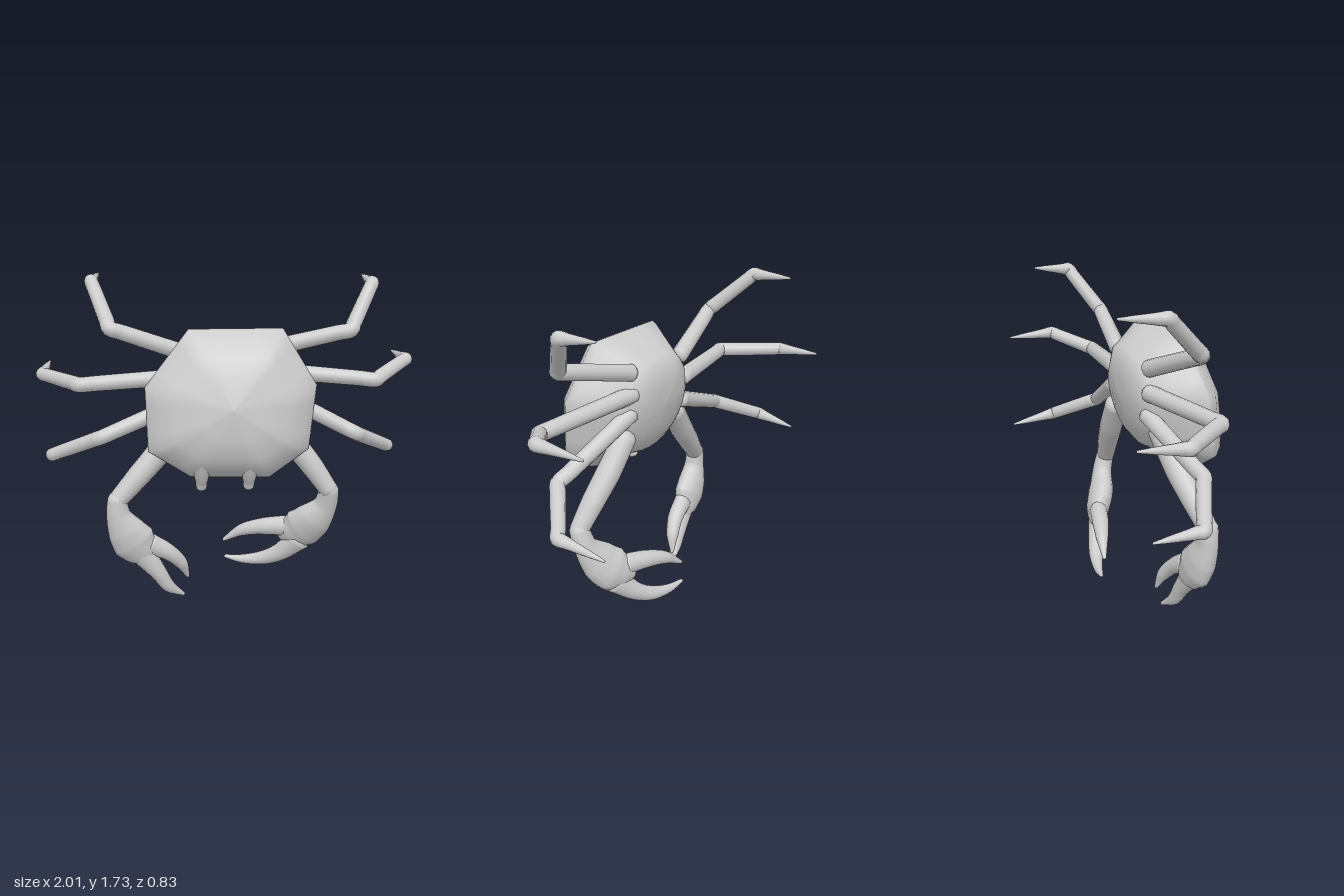
import * as THREE from 'three';

const material = new THREE.MeshStandardMaterial({ color: 0xcccccc });
const UP = new THREE.Vector3(0, 1, 0);
const FRONT = new THREE.Vector3(0, 0, 1);

// Skin a list of rings (equal counts, anticlockwise about the travel direction)
function loft(name, rings) {
  const n = rings[0].length, position = [], index = [];
  rings.forEach(ring => ring.forEach(p => position.push(p.x, p.y, p.z)));
  for (let i = 0; i < rings.length - 1; i++) {
    for (let j = 0; j < n; j++) {
      const a = i * n + j, b = i * n + (j + 1) % n;
      index.push(a, b, a + n, b, b + n, a + n);
    }
  }
  const geometry = new THREE.BufferGeometry();
  geometry.setAttribute('position', new THREE.Float32BufferAttribute(position, 3));
  geometry.setIndex(index);
  geometry.computeVertexNormals();
  const mesh = new THREE.Mesh(geometry, material);
  mesh.name = name;
  return mesh;
}

// Tapered limb through points [x, y, z, width radius, depth radius]
function limb(name, points, ref = FRONT, steps = 28, sides = 14) {
  const curve = new THREE.CatmullRomCurve3(points.map(p => new THREE.Vector3(p[0], p[1], p[2])));
  const last = points.length - 1, rings = [];
  const ringAt = (t, scale, shift) => {
    const f = t * last, i = Math.min(Math.floor(f), last - 1), k = f - i;
    const mix = (a, b) => a + (b - a) * k;
    const depth = p => p[4] ?? p[3];
    const w = mix(points[i][3], points[i + 1][3]) * scale;
    const d = mix(depth(points[i]), depth(points[i + 1])) * scale;
    const tangent = curve.getTangent(t);
    const normal = ref.clone().addScaledVector(tangent, -ref.dot(tangent)).normalize();
    const side = tangent.clone().cross(normal);
    const centre = curve.getPoint(t).addScaledVector(tangent, shift * Math.min(points[i][3], points[i + 1][3]));
    return Array.from({ length: sides }, (_, j) => {
      const a = j / sides * Math.PI * 2;
      return centre.clone().addScaledVector(normal, d * Math.cos(a)).addScaledVector(side, w * Math.sin(a));
    });
  };
  // rounded start, body, rounded end
  rings.push(ringAt(0, 0, -0.6), ringAt(0, 0.7, -0.4));
  for (let s = 0; s <= steps; s++) rings.push(ringAt(s / steps, 1, 0));
  rings.push(ringAt(1, 0.7, 0.4), ringAt(1, 0, 0.6));
  return loft(name, rings);
}

// Three-segment walking leg: root, knee, bend, tip, with tight joints
function leg(name, joints) {
  const radii = [0.045, 0.04, 0.036, 0.006], points = [];
  joints.forEach((p, i) => {
    points.push([...p, radii[i]]);
    if (i === 3) return;
    for (const k of [0.15, 0.85]) {
      const lerp = (a, b) => a + (b - a) * k;
      points.push([...p.map((v, c) => lerp(v, joints[i + 1][c])), lerp(radii[i], radii[i + 1])]);
    }
  });
  return limb(name, points, UP, 45, 12);
}

// Eight-sided shell: outline scaled through layers of depth
function shell() {
  const corners = [[0.44, 1.22], [0.27, 1.5], [-0.2, 1.5], [-0.42, 1.22],
    [-0.41, 0.9], [-0.2, 0.77], [0.2, 0.76], [0.4, 0.9]];
  const outline = [];
  corners.forEach((c, i) => {
    const d = corners[(i + 1) % corners.length];
    for (let k = 0; k < 4; k++) {
      outline.push([c[0] + (d[0] - c[0]) * k / 4, c[1] + (d[1] - c[1]) * k / 4]);
    }
  });
  const cx = 0.01, cy = 1.14;
  // [z, scale, roundness]
  const layers = [[-0.07, 0, 1], [-0.065, 0.25, 1], [-0.045, 0.48, 0.9], [0, 0.66, 0.7],
    [0.11, 0.83, 0.3], [0.2, 0.97, 0], [0.23, 1, 0], [0.25, 0.98, 0], [0.3, 0.87, 0],
    [0.36, 0.67, 0], [0.39, 0.38, 0], [0.41, 0, 0]];
  return loft('shell', layers.map(([z, s, round]) => outline.map(([x, y]) => {
    const dx = x - cx, dy = y - cy, r = Math.hypot(dx, dy);
    const k = s * (1 + (0.41 / r - 1) * round);
    return new THREE.Vector3(cx + dx * k, cy + dy * k, z - dy * s * 0.15);
  })));
}

function claw(name, parts) {
  const group = new THREE.Group();
  group.name = name;
  for (const [part, points] of Object.entries(parts)) group.add(limb(part, points));
  return group;
}

export function createModel() {
  const model = new THREE.Group();
  model.name = 'crab';
  model.add(shell());

  // Eye stubs on the lower edge
  for (const [name, x] of [['rightEye', -0.145], ['leftEye', 0.095]]) {
    model.add(limb(name, [[x, 0.86, 0.31, 0.06], [x, 0.79, 0.3, 0.042],
      [x, 0.74, 0.285, 0.03], [x, 0.71, 0.275, 0.028]], FRONT, 12, 12));
  }

  // Walking legs
  const legs = {
    rightUpperLeg: [[-0.2, 1.34, 0.0], [-0.59, 1.49, 0.08], [-0.69, 1.7, -0.14], [-0.67, 1.715, -0.37]],
    rightMiddleLeg: [[-0.22, 1.22, -0.01], [-0.75, 1.21, 0.1], [-0.97, 1.21, -0.17], [-0.96, 1.23, -0.41]],
    rightLowerLeg: [[-0.2, 1.1, -0.01], [-0.66, 0.92, 0.07], [-0.93, 0.79, -0.07], [-0.91, 0.77, -0.31]],
    leftUpperLeg: [[0.2, 1.36, 0.0], [0.63, 1.47, 0.08], [0.76, 1.69, -0.06], [0.75, 1.71, -0.26]],
    leftMiddleLeg: [[0.2, 1.25, -0.01], [0.77, 1.21, 0.08], [0.97, 1.28, -0.1], [0.96, 1.275, -0.36]],
    leftLowerLeg: [[0.22, 1.15, -0.01], [0.68, 0.92, 0.07], [0.9, 0.79, -0.13], [0.88, 0.76, -0.39]],
  };
  for (const [name, joints] of Object.entries(legs)) model.add(leg(name, joints));

  // Pincers, each with its own pose
  model.add(claw('rightClaw', {
    arm: [[-0.22, 1.02, 0.05, 0.06], [-0.36, 0.84, 0.09, 0.065], [-0.47, 0.72, 0.12, 0.06], [-0.58, 0.6, 0.15, 0.05]],
    palm: [[-0.58, 0.62, 0.15, 0.05], [-0.575, 0.52, 0.15, 0.065, 0.055], [-0.54, 0.43, 0.14, 0.1, 0.07],
      [-0.5, 0.36, 0.13, 0.12, 0.07], [-0.45, 0.29, 0.12, 0.09, 0.055], [-0.42, 0.25, 0.11, 0.04, 0.035]],
    outerFinger: [[-0.47, 0.31, 0.13, 0.07, 0.05], [-0.375, 0.17, 0.115, 0.045], [-0.32, 0.08, 0.1, 0.035],
      [-0.24, 0.015, 0.07, 0.01]],
    innerFinger: [[-0.42, 0.34, 0.12, 0.06, 0.05], [-0.32, 0.28, 0.1, 0.045], [-0.25, 0.2, 0.07, 0.035],
      [-0.215, 0.11, 0.045, 0.01]],
  }));
  model.add(claw('leftClaw', {
    arm: [[0.24, 1.03, 0.01, 0.06], [0.36, 0.86, 0.03, 0.065], [0.46, 0.73, 0.05, 0.06], [0.55, 0.6, 0.07, 0.05]],
    palm: [[0.55, 0.62, 0.07, 0.05], [0.535, 0.51, 0.04, 0.065, 0.055], [0.48, 0.42, 0.01, 0.105, 0.07],
      [0.42, 0.35, -0.03, 0.12, 0.07], [0.36, 0.31, -0.06, 0.09, 0.055], [0.32, 0.29, -0.08, 0.04, 0.035]],
    outerFinger: [[0.41, 0.28, -0.04, 0.07, 0.055], [0.31, 0.18, -0.09, 0.05], [0.22, 0.13, -0.13, 0.04],
      [0.1, 0.11, -0.165, 0.025], [0.005, 0.12, -0.185, 0.01]],
    innerFinger: [[0.35, 0.35, -0.06, 0.06, 0.05], [0.22, 0.335, -0.1, 0.048], [0.1, 0.3, -0.14, 0.035],
      [-0.005, 0.23, -0.17, 0.01]],
  }));
  return model;
}
